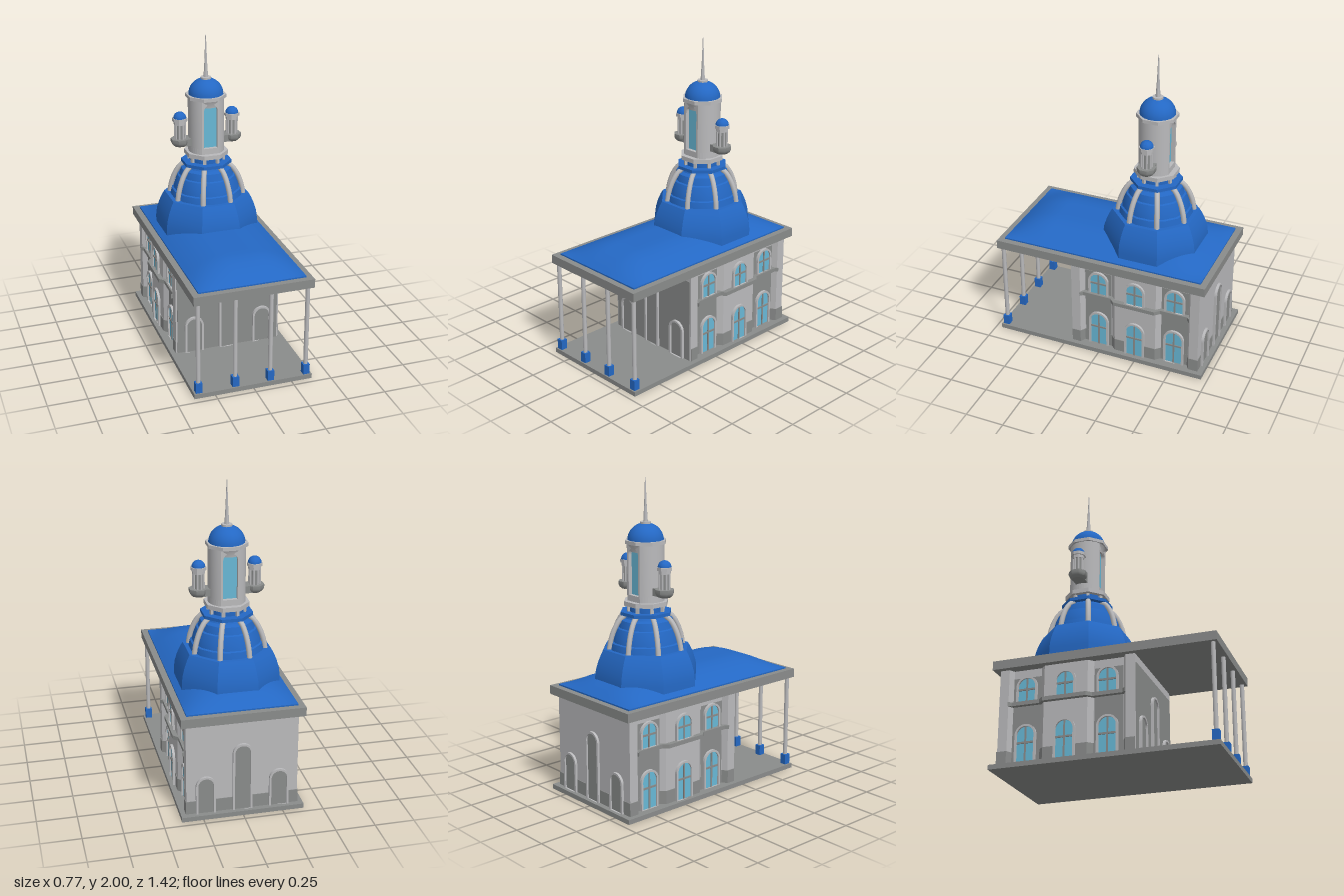
import * as THREE from 'three';
import { toCreasedNormals } from 'three/addons/utils/BufferGeometryUtils.js';

const mat = (name, color) => new THREE.MeshStandardMaterial({ name, color });

export function createModel() {
  const blue = mat('roofBlue', 0x2468c4);
  const light = mat('lightStone', 0xbababc);
  const grey = mat('greyStone', 0x8a8c8b);
  const glass = mat('glass', 0x68b8d6);
  const model = new THREE.Group();
  model.name = 'domedHall';
  const CZ = -0.24; // tower axis

  const add = (name, geo, material, x = 0, y = 0, z = 0, parent = model) => {
    const m = new THREE.Mesh(geo, material);
    m.name = name;
    m.position.set(x, y, z);
    parent.add(m);
    return m;
  };
  const box = (name, w, h, d, material, x, y, z, parent) =>
    add(name, new THREE.BoxGeometry(w, h, d), material, x, y, z, parent);
  // Upright prism from a plan of [x, z] points
  const prism = (name, pts, y0, y1, material, parent) => {
    const s = new THREE.Shape(pts.map(([x, z]) => new THREE.Vector2(x, -z)));
    const g = new THREE.ExtrudeGeometry(s, { depth: y1 - y0, bevelEnabled: false });
    g.rotateX(-Math.PI / 2);
    return add(name, g, material, 0, y0, 0, parent);
  };
  // Turned part; phase half a step so that flats face the axes
  const turned = (name, pts, sides, material, x = 0, z = CZ, parent = model) => {
    const k = sides <= 8 ? 1 / Math.cos(Math.PI / sides) : 1;
    const g = new THREE.LatheGeometry(pts.map(([r, y]) => new THREE.Vector2(r * k, y)), sides, Math.PI / sides);
    return add(name, toCreasedNormals(g, 0.55), material, x, 0, z, parent);
  };
  const disc = (name, r, y0, y1, sides, material, x, z, parent) =>
    turned(name, [[0, y0], [r, y0], [r, y1], [0, y1]], sides, material, x, z, parent);
  const cap = (name, r, y0, h, sides, x, z, parent) => {
    const pts = [];
    for (let i = 0; i <= 10; i++) {
      const a = (i / 10) * Math.PI / 2;
      pts.push([i === 10 ? 0 : r * Math.cos(a), y0 + h * Math.sin(a)]);
    }
    return turned(name, pts, sides, blue, x, z, parent);
  };
  // Round-headed outline
  const arch = (r, h, Type = THREE.Shape) => {
    const s = new Type();
    s.moveTo(-r, 0);
    s.lineTo(r, 0);
    s.lineTo(r, h - r);
    s.absarc(0, h - r, r, 0, Math.PI, false);
    s.lineTo(-r, 0);
    return s;
  };
  // Framed opening facing +z, foot at y = 0
  const opening = (name, r, h, fill, barY) => {
    const g = new THREE.Group();
    g.name = name;
    const s = arch(r, h);
    s.holes.push(arch(r - 0.013, h - 0.013, THREE.Path));
    add('archFrame', new THREE.ExtrudeGeometry(s, { depth: 0.016, bevelEnabled: false, curveSegments: 10 }), light, 0, 0, 0, g);
    add('panel', new THREE.ShapeGeometry(arch(r - 0.012, h - 0.012), 10), fill, 0, 0, 0.005, g);
    if (barY) {
      box('mullion', 0.01, h - 0.015, 0.006, grey, 0, (h - 0.015) / 2, 0.008, g);
      box('transom', 2 * r - 0.024, 0.012, 0.006, grey, 0, barY, 0.008, g);
    }
    model.add(g);
    return g;
  };

  // Base and roof slabs
  box('baseSlab', 0.77, 0.03, 1.42, grey, 0, 0.015, 0);
  box('roofSlab', 0.77, 0.057, 1.42, grey, 0, 0.6665, 0);

  // Pillow-shaped roof
  box('roofEdge', 0.69, 0.01, 1.34, blue, 0, 0.699, 0);
  const roof = new THREE.PlaneGeometry(0.69, 1.34, 28, 48).rotateX(-Math.PI / 2);
  const p = roof.attributes.position;
  const swell = (d) => 1 - (1 - Math.min(d / 0.27, 1)) ** 2;
  for (let i = 0; i < p.count; i++) {
    const fx = swell(0.345 - Math.abs(p.getX(i))), fz = swell(0.67 - Math.abs(p.getZ(i)));
    p.setY(i, 0.704 + 0.086 * fx * fz);
  }
  roof.computeVertexNormals();
  add('vaultedRoof', roof, blue);

  // Hall walls with corner piers and a projecting middle bay
  const side = [[0.35, 0.2], [0.35, 0.14], [0.315, 0.12], [0.315, -0.07], [0.345, -0.1],
    [0.345, -0.38], [0.315, -0.41], [0.315, -0.59], [0.35, -0.61], [0.35, -0.67]];
  const both = (pts) => [...pts, ...pts.map(([x, z]) => [-x, z]).reverse()];
  prism('walls', both(side), 0.03, 0.64, light);
  prism('plinth', both(side.map(([x, z]) => [x + 0.004, z === 0.2 ? 0.198 : z === -0.67 ? -0.674 : z])), 0.03, 0.115, grey);
  prism('ledge', both(side.slice(1, 9).map(([x, z], i) => [i === 0 || i === 7 ? 0.362 : x + 0.03, z])), 0.4, 0.425, grey);
  box('frontWallFace', 0.68, 0.555, 0.006, grey, 0, 0.3075, 0.201);
  for (const s of [-1, 1]) {
    for (const z of [0.025, -0.5]) box('sideWallFace', 0.006, 0.555, 0.18, grey, s * 0.315, 0.3075, z);
    for (const z of [0.02, CZ, -0.5]) {
      const x = s * (z === CZ ? 0.347 : 0.319);
      const lower = opening('lowerWindow', 0.068, 0.25, glass, 0.135);
      lower.position.set(x, 0.03, z);
      const upper = opening('upperWindow', 0.068, 0.165, glass, 0.08);
      upper.position.set(x, 0.425, z);
      lower.rotation.y = upper.rotation.y = s * Math.PI / 2;
    }
  }

  // Blind doors, front and back
  for (const s of [-1, 1]) {
    for (const x of [-0.23, 0, 0.23]) {
      const d = opening('door', 0.062, x ? 0.25 : 0.45, grey);
      d.position.set(x, 0.03, s > 0 ? 0.204 : -0.672);
      if (s < 0) d.rotation.y = Math.PI;
    }
  }

  // Porch columns
  for (const x of [-0.352, -0.115, 0.115, 0.352]) {
    box('columnFoot', 0.042, 0.068, 0.042, blue, x, 0.063, 0.68);
    add('column', new THREE.CylinderGeometry(0.014, 0.014, 0.55, 12), light, x, 0.366, 0.68);
  }

  // Great dome: octagonal skirt, stepped upper dome, ribs
  turned('lowerDome', [[0.31, 0.69], [0.31, 0.77], [0.304, 0.82], [0.29, 0.87], [0.272, 0.915], [0.256, 0.945], [0, 0.945]], 8, blue);
  turned('upperDome', [[0.236, 0.945], [0.228, 0.985], [0.216, 0.99], [0.207, 1.03], [0.19, 1.075],
    [0.178, 1.08], [0.165, 1.125], [0.135, 1.135], [0.12, 1.16]], 16, blue);
  const ribPath = new THREE.CatmullRomCurve3([[0.24, 0.942], [0.23, 1.0], [0.205, 1.07], [0.17, 1.125], [0.125, 1.16]]
    .map(([r, y]) => new THREE.Vector3(r, y, 0)));
  const ribGeo = new THREE.TubeGeometry(ribPath, 14, 0.017, 8);
  for (let i = 0; i < 8; i++) {
    const a = (i + 0.5) * Math.PI / 4;
    add('domeRib', ribGeo, light, 0, 0, CZ).rotation.y = a;
    box('collarPost', 0.02, 0.045, 0.02, light, 0.112 * Math.cos(a), 1.195, CZ + 0.112 * Math.sin(a)).rotation.y = -a;
  }
  disc('collarRing', 0.152, 1.155, 1.176, 8, blue);
  disc('collarDrum', 0.108, 1.17, 1.216, 16, blue);
  disc('towerFoot', 0.132, 1.214, 1.242, 8, light);

  // Tower: round flanks with tall arched openings front and back
  const tower = new THREE.Group();
  tower.name = 'tower';
  tower.position.z = CZ;
  model.add(tower);
  const flank = [[0.045, 0.1]];
  for (let i = 0; i <= 14; i++) {
    const a = 1.039 * (1 - i / 7);
    flank.push([0.116 * Math.cos(a), 0.116 * Math.sin(a)]);
  }
  flank.push([0.045, -0.1]);
  prism('towerBase', both(flank.slice(1, -1)), 1.24, 1.28, light, tower);
  for (const r of [0, Math.PI]) {
    const f = prism('towerFlank', flank, 1.28, 1.6, light, tower);
    f.geometry = toCreasedNormals(f.geometry, 0.5);
    f.rotation.y = r;
    const pane = add('towerPane', new THREE.ShapeGeometry(arch(0.046, 0.296), 12), glass, 0, 1.28, 0, tower);
    pane.rotation.y = r;
    pane.position.z = r ? -0.075 : 0.075;
  }
  const head = new THREE.Shape();
  head.moveTo(-0.045, 1.53);
  head.absarc(0, 1.53, 0.045, Math.PI, 0, true);
  head.lineTo(0.045, 1.6);
  head.lineTo(-0.045, 1.6);
  add('archHead', new THREE.ExtrudeGeometry(head, { depth: 0.2, bevelEnabled: false }), light, 0, 0, -0.1, tower);
  turned('towerFlare', [[0.1, 1.55], [0.104, 1.575], [0.116, 1.6]], 24, light, 0, 0, tower);
  disc('towerCornice', 0.122, 1.598, 1.62, 8, light, 0, 0, tower);
  cap('towerDome', 0.112, 1.618, 0.105, 20, 0, 0, tower);
  disc('spireRing', 0.034, 1.715, 1.73, 12, light, 0, 0, tower);
  turned('spire', [[0.014, 1.725], [0.008, 1.83], [0.002, 2], [0, 2]], 8, light, 0, 0, tower);

  // Side turrets on rounded brackets
  for (const s of [-1, 1]) {
    const t = new THREE.Group();
    t.name = 'sideTurret';
    t.position.set(s * 0.175, 0, CZ);
    model.add(t);
    turned('bracket', [[0, 1.285], [0.036, 1.287], [0.05, 1.3], [0.056, 1.315], [0.056, 1.336], [0, 1.336]], 8, grey, 0, 0, t);
    box('bracketArm', 0.06, 0.046, 0.08, grey, -s * 0.05, 1.313, 0, t);
    disc('turretCore', 0.028, 1.335, 1.45, 8, grey, 0, 0, t);
    for (let i = 0; i < 8; i++) {
      const a = (i + 0.5) * Math.PI / 4;
      add('turretPost', new THREE.CylinderGeometry(0.007, 0.007, 0.11, 6), light, 0.032 * Math.cos(a), 1.39, 0.032 * Math.sin(a), t);
    }
    disc('turretHead', 0.037, 1.432, 1.455, 8, light, 0, 0, t);
    disc('turretCornice', 0.045, 1.453, 1.474, 8, light, 0, 0, t);
    cap('turretDome', 0.042, 1.472, 0.042, 16, 0, 0, t);
  }
  return model;
}
